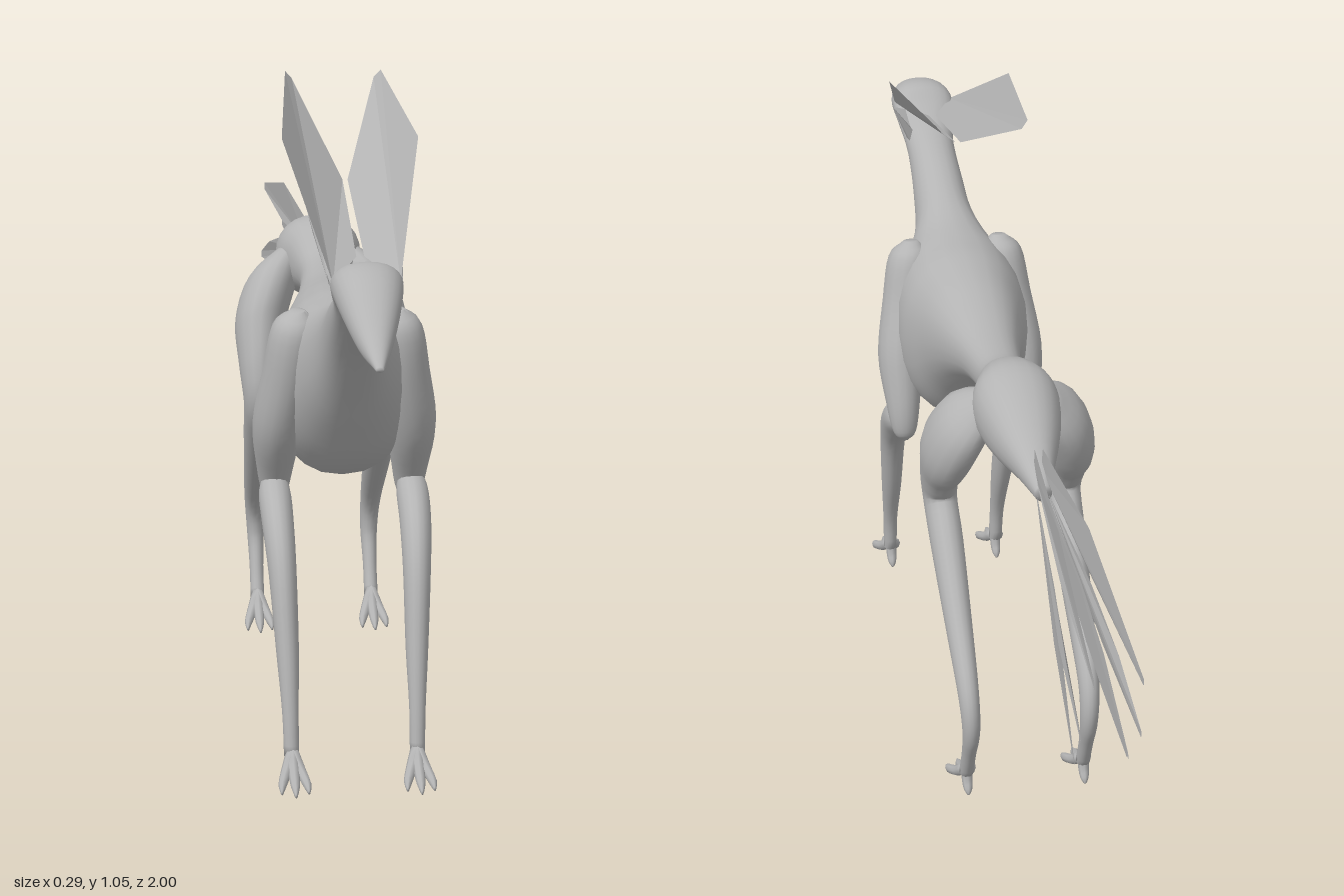
import * as THREE from 'three';

const grey = new THREE.MeshStandardMaterial({ color: 0xb4b4b4, side: THREE.DoubleSide });
grey.name = 'plain grey';

// Smooth loft through rows of [x, y, z, half width, half depth].
// Rings stand upright when upright is true, otherwise square to the path.
function loft(name, rows, { upright = false, power = 1, steps = 4, sides = 16 } = {}) {
  const path = new THREE.CatmullRomCurve3(rows.map(r => new THREE.Vector3(r[0], r[1], r[2])), false, 'catmullrom', 0.5);
  const size = new THREE.CatmullRomCurve3(rows.map(r => new THREE.Vector3(r[3], r[4], 0)), false, 'catmullrom', 0.5);
  const n = (rows.length - 1) * steps, pos = [], index = [];
  const X = new THREE.Vector3(1, 0, 0), U = new THREE.Vector3();
  for (let i = 0; i <= n; i++) {
    const c = path.getPoint(i / n), s = size.getPoint(i / n);
    const T = upright ? new THREE.Vector3(0, 0, -1) : path.getTangent(i / n);
    U.crossVectors(T, X).normalize();
    for (let j = 0; j < sides; j++) {
      const a = j / sides * Math.PI * 2;
      const soft = v => Math.sign(v) * Math.abs(v) ** power;
      const p = c.clone()
        .addScaledVector(X, soft(Math.cos(a)) * Math.max(s.x, 0.001))
        .addScaledVector(U, soft(Math.sin(a)) * Math.max(s.y, 0.001));
      pos.push(p.x, p.y, p.z);
      if (i < n) {
        const k = (j + 1) % sides, a0 = i * sides, b0 = a0 + sides;
        index.push(a0 + j, a0 + k, b0 + k, a0 + j, b0 + k, b0 + j);
      }
    }
  }
  // end caps
  for (let j = 1; j < sides - 1; j++) {
    index.push(0, j + 1, j, n * sides, n * sides + j, n * sides + j + 1);
  }
  const g = new THREE.BufferGeometry();
  g.setAttribute('position', new THREE.Float32BufferAttribute(pos, 3));
  g.setIndex(index);
  g.computeVertexNormals();
  const m = new THREE.Mesh(g, grey);
  m.name = name;
  return m;
}

// Flat plate: a fan of triangles from its first corner
function plate(name, pts) {
  const pos = [];
  for (let i = 1; i < pts.length - 1; i++) pos.push(...pts[0], ...pts[i], ...pts[i + 1]);
  const g = new THREE.BufferGeometry();
  g.setAttribute('position', new THREE.Float32BufferAttribute(pos, 3));
  g.computeVertexNormals();
  const m = new THREE.Mesh(g, grey);
  m.name = name;
  return m;
}

// Three spread front toes and a short back toe below an ankle
function foot(name, s, x, z) {
  const g = new THREE.Group();
  g.name = name;
  for (const [dx, dz] of [[-0.021, 0.075], [0, 0.09], [0.021, 0.075], [0, -0.022]]) {
    g.add(loft('toe', [
      [s * x, 0.048, z, 0.010, 0.012],
      [s * x + dx * 0.5, 0.026, z + dz * 0.35, 0.009, 0.009],
      [s * x + dx * 0.9, 0.013, z + dz * 0.75, 0.007, 0.008],
      [s * x + dx, 0.006, z + dz, 0.002, 0.004],
    ], { steps: 2, sides: 8 }));
  }
  return g;
}

export function createModel() {
  const model = new THREE.Group();
  model.name = 'longLeggedCreature';

  // Head, neck, chest, waist and rump: [z, top, bottom, half width]
  const outline = [
    [1.0, 0.772, 0.764, 0.006], [0.93, 0.815, 0.765, 0.026], [0.85, 0.865, 0.788, 0.046],
    [0.79, 0.878, 0.805, 0.054], [0.75, 0.855, 0.795, 0.05], [0.70, 0.828, 0.755, 0.042],
    [0.62, 0.80, 0.685, 0.045], [0.55, 0.768, 0.605, 0.054], [0.49, 0.745, 0.53, 0.08],
    [0.43, 0.737, 0.465, 0.108], [0.37, 0.735, 0.43, 0.113], [0.32, 0.73, 0.445, 0.104],
    [0.26, 0.722, 0.51, 0.088], [0.19, 0.71, 0.565, 0.07], [0.1, 0.70, 0.61, 0.05],
    [0.0, 0.705, 0.625, 0.04], [-0.06, 0.735, 0.62, 0.054], [-0.12, 0.745, 0.605, 0.072],
    [-0.2, 0.722, 0.605, 0.06], [-0.29, 0.68, 0.618, 0.033], [-0.36, 0.65, 0.622, 0.014],
  ];
  model.add(loft('body', outline.map(([z, t, b, w]) => [0, (t + b) / 2, z, w, (t - b) / 2]),
    { upright: true, power: 0.9, sides: 24 }));

  for (const s of [1, -1]) {
    const side = s > 0 ? 'left' : 'right';
    const M = rows => rows.map(r => [r[0] * s, ...r.slice(1)]);

    // Front leg: shoulder and upper arm, then the lower leg
    model.add(loft(side + 'Shoulder', M([
      [0.078, 0.722, 0.455, 0.012, 0.012], [0.082, 0.695, 0.45, 0.036, 0.04],
      [0.092, 0.62, 0.435, 0.04, 0.048], [0.106, 0.53, 0.405, 0.04, 0.05],
      [0.108, 0.45, 0.37, 0.03, 0.034], [0.108, 0.40, 0.355, 0.02, 0.02],
      [0.108, 0.385, 0.35, 0.004, 0.004],
    ])));
    model.add(loft(side + 'FrontLeg', M([
      [0.108, 0.425, 0.345, 0.012, 0.012], [0.11, 0.41, 0.385, 0.025, 0.026],
      [0.109, 0.372, 0.455, 0.025, 0.034], [0.106, 0.31, 0.51, 0.022, 0.032],
      [0.102, 0.20, 0.555, 0.018, 0.024], [0.1, 0.11, 0.587, 0.013, 0.014],
      [0.099, 0.04, 0.6, 0.012, 0.014],
    ])));
    model.add(foot(side + 'FrontFoot', s, 0.098, 0.6));

    // Hind leg: thigh, knee, hock and ankle in one sweep
    model.add(loft(side + 'HindLeg', M([
      [0.045, 0.69, -0.12, 0.02, 0.025], [0.078, 0.645, -0.095, 0.042, 0.06],
      [0.102, 0.58, -0.06, 0.043, 0.068], [0.108, 0.515, -0.015, 0.034, 0.05],
      [0.106, 0.455, 0.0, 0.029, 0.037], [0.104, 0.395, -0.055, 0.028, 0.037],
      [0.103, 0.3, -0.155, 0.023, 0.03], [0.102, 0.215, -0.24, 0.018, 0.024],
      [0.1, 0.15, -0.258, 0.015, 0.02], [0.1, 0.09, -0.235, 0.012, 0.015],
      [0.1, 0.04, -0.21, 0.012, 0.014],
    ])));
    model.add(foot(side + 'HindFoot', s, 0.1, -0.21));

    // Large ear plate and the smaller one beneath it
    model.add(plate(side + 'LargeEar', M([
      [0.05, 0.845, 0.79], [0.105, 1.005, 0.5], [0.077, 1.05, 0.18],
      [0.066, 1.037, 0.175], [0.004, 0.92, 0.41], [0.006, 0.86, 0.68],
    ])));
    model.add(plate(side + 'SmallEar', M([
      [0.055, 0.84, 0.78], [0.066, 0.922, 0.57], [0.085, 0.96, 0.4],
      [0.078, 0.945, 0.42], [0.062, 0.87, 0.55], [0.046, 0.82, 0.68],
    ])));

    // Paired tail feathers: outward spread, then side outline as [z, y]
    const feathers = [
      [0.037, [[-0.31, 0.655], [-0.32, 0.695], [-0.6, 0.698], [-0.94, 0.625], [-0.94, 0.613], [-0.62, 0.622]]],
      [0.046, [[-0.34, 0.635], [-0.6, 0.598], [-0.75, 0.555], [-0.89, 0.505], [-0.89, 0.493], [-0.66, 0.528]]],
      [0.042, [[-0.34, 0.63], [-0.55, 0.575], [-0.68, 0.52], [-0.82, 0.425], [-0.825, 0.415], [-0.58, 0.487]]],
    ];
    for (const [spread, pts] of feathers) {
      model.add(plate(side + 'TailFeather', pts.map(([z, y]) =>
        [s * (0.006 + (spread - 0.006) * Math.min(1, (-z - 0.31) / 0.5)), y, z])));
    }
  }

  // Long middle tail feather
  model.add(plate('middleTailFeather', [
    [0, 0.64, -0.33], [0, 0.63, -0.65], [0, 0.542, -1.0], [0, 0.53, -1.0], [0, 0.545, -0.8], [0, 0.58, -0.58],
  ]));
  return model;
}
